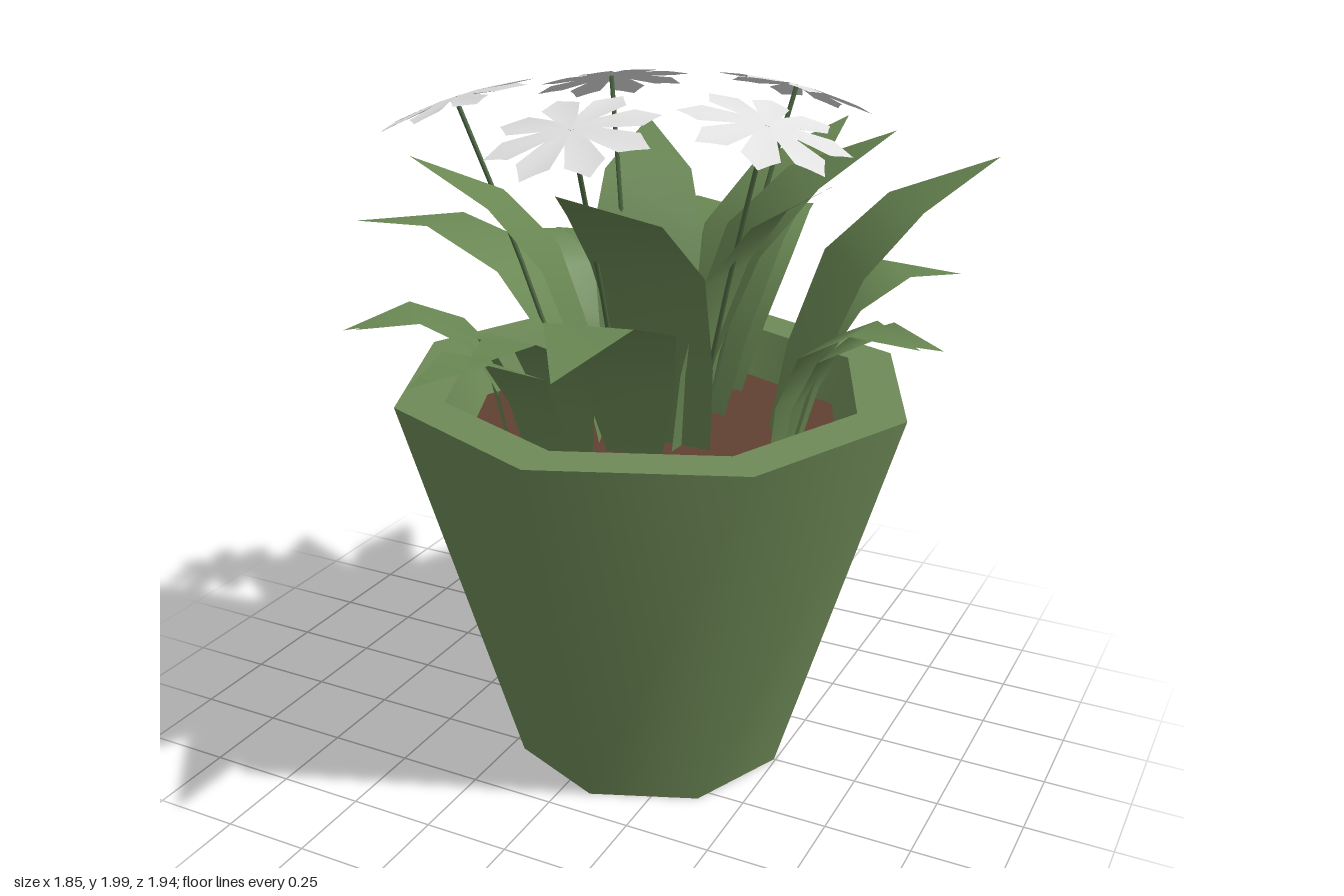
import * as THREE from 'three';

const CX = 0.085; // pot axis

const mat = (name, color, side = THREE.FrontSide) => {
  const m = new THREE.MeshStandardMaterial({ color, side });
  m.name = name;
  return m;
};

const makeMesh = (name, geometry, material) => {
  const m = new THREE.Mesh(geometry, material);
  m.name = name;
  return m;
};

const meshGeometry = (positions, index) => {
  const g = new THREE.BufferGeometry();
  g.setAttribute('position', new THREE.Float32BufferAttribute(positions, 3));
  g.setIndex(index);
  g.computeVertexNormals();
  return g;
};

// Leaf profiles: [outward fraction, height fraction, width fraction]
const TALL = [[0, 0, 0.65], [0.1, 0.33, 0.85], [0.28, 0.66, 1], [0.56, 0.86, 0.8], [1, 1, 0]];
const ARCHED = [[0, 0, 0.45], [0.1, 0.5, 0.8], [0.28, 0.9, 1], [0.6, 1.08, 0.7], [1, 1, 0]];

// Root on a ring around the pot axis, on the side of the leaf tip
const ringRoot = (tx, tz, radius) => {
  const k = radius / Math.hypot(tx - CX, tz);
  return [CX + (tx - CX) * k, tz * k];
};

// Ribbon running outward from its root in the soil to a pointed tip
function leafGeometry([tx, ty, tz, half], [rx, rz], profile) {
  const dx = tx - rx, dz = tz - rz, len = Math.hypot(dx, dz);
  const baseY = 0.98, pos = [], index = [];
  profile.forEach(([t, h, w], i) => {
    for (const s of [-1, 1]) {
      const side = (s * half * w) / len;
      pos.push(rx + dx * t - dz * side, baseY + (ty - baseY) * h, rz + dz * t + dx * side);
    }
    if (i) {
      const a = 2 * i - 2;
      index.push(a, a + 1, a + 2);
      if (w > 0) index.push(a + 1, a + 3, a + 2);
    }
  });
  return meshGeometry(pos, index);
}

// Eight toothed petals fanned around a slightly raised centre
function flowerGeometry() {
  const outline = [[-22.5, 0.08], [-16.5, 0.18], [-8, 0.2], [0, 0.232], [8, 0.2], [16.5, 0.18]];
  const pos = [0, 0, 0], index = [], n = outline.length * 8;
  for (let p = 0; p < 8; p++) {
    for (const [deg, r] of outline) {
      const a = THREE.MathUtils.degToRad(deg + p * 45);
      pos.push(Math.sin(a) * r, -0.45 * r * r, Math.cos(a) * r);
    }
  }
  for (let i = 0; i < n; i++) index.push(0, 1 + i, 1 + ((i + 1) % n));
  return meshGeometry(pos, index);
}

export function createModel() {
  const model = new THREE.Group();
  model.name = 'pottedFlowers';
  const potGreen = mat('pot green', 0x6e8a57);
  const leafGreen = mat('leaf green', 0x698753, THREE.DoubleSide);
  const stemGreen = mat('stem green', 0x4c6640);
  const petalWhite = mat('petal white', 0xe2e2e2, THREE.DoubleSide);
  const soilBrown = mat('soil brown', 0x614133);

  // Octagonal pot: outer wall, base, rim, inner wall and soil
  const pot = new THREE.Group();
  pot.name = 'pot';
  pot.position.x = CX;
  const wall = makeMesh('outerWall', new THREE.CylinderGeometry(0.75, 0.41, 1.15, 8, 1, true), potGreen);
  wall.position.y = 0.575;
  const base = makeMesh('base', new THREE.CircleGeometry(0.41, 8).rotateX(Math.PI / 2), potGreen);
  const rim = makeMesh('rim', new THREE.RingGeometry(0.61, 0.75, 8).rotateX(-Math.PI / 2), potGreen);
  rim.position.y = 1.15;
  // Lathe points run downward so the inside faces the axis
  const inner = makeMesh('innerWall', new THREE.LatheGeometry(
    [new THREE.Vector2(0.61, 1.15), new THREE.Vector2(0.56, 1.0)], 8), potGreen);
  const soil = makeMesh('soil', new THREE.CircleGeometry(0.565, 8).rotateX(-Math.PI / 2), soilBrown);
  soil.position.y = 1.01;
  pot.add(wall, base, rim, inner, soil);
  model.add(pot);

  const leaves = new THREE.Group();
  leaves.name = 'leaves';
  // Tall leaves: tip x, y, z, half width, then root x, z
  for (const [tip, root] of [
    [[0.2, 1.85, 0.76, 0.165], [0.2, 0.1]],
    [[0.63, 1.84, -0.41, 0.19], [0.15, -0.05]],
    [[0.92, 1.79, -0.43, 0.16], [0.45, -0.05]],
    [[0.64, 1.79, 0.09, 0.14], [0.22, 0.07]],
    [[-0.52, 1.79, 0.29, 0.15], [-0.02, 0.1]],
    [[-0.2, 1.79, -0.54, 0.16], [0.02, -0.08]],
    [[0.34, 1.79, -0.84, 0.15], [0.14, -0.18]],
  ]) leaves.add(makeMesh('tallLeaf', leafGeometry(tip, root, TALL), leafGreen));

  // Arching leaves: tip x, y, z, half width, root ring radius
  for (const [x, y, z, half, radius] of [
    [-0.93, 1.5, 0, 0.14, 0.2], [0.3, 1.48, 0.97, 0.16, 0.22],
    [0.19, 1.47, -0.97, 0.15, 0.38], [-0.21, 1.46, -0.94, 0.15, 0.38],
    [0.78, 1.39, -0.64, 0.14, 0.42], [-0.6, 1.37, -0.66, 0.14, 0.42],
    [0.92, 1.36, 0, 0.13, 0.42], [0.88, 1.38, 0.08, 0.12, 0.4],
    [-0.16, 1.36, 0.87, 0.12, 0.42], [-0.66, 1.4, -0.47, 0.12, 0.4],
    [-0.55, 1.36, 0.54, 0.12, 0.42], [-0.5, 1.4, 0.66, 0.12, 0.38],
    [-0.05, 1.4, 0.78, 0.12, 0.36],
  ]) leaves.add(makeMesh('archingLeaf', leafGeometry([x, y, z, half], ringRoot(x, z, radius), ARCHED), leafGreen));
  model.add(leaves);

  // Flowers on slim stems, each tilted away from the pot axis
  const blossom = flowerGeometry();
  const up = new THREE.Vector3(0, 1, 0);
  const heads = [
    [-0.21, 1.945, -0.31], [0.31, 1.935, -0.46], [-0.47, 1.93, 0.13], [0.46, 1.93, 0.13], [0.045, 1.93, 0.4],
  ];
  heads.forEach(([x, y, z], i) => {
    const flower = new THREE.Group();
    flower.name = 'flower';
    const top = new THREE.Vector3(x, y, z);
    const foot = new THREE.Vector3(CX + (x - CX) * 0.4, 1.0, z * 0.35);
    const knee = foot.clone().lerp(top, 0.55).add(new THREE.Vector3(0, 0.03, 0));
    const path = new THREE.CatmullRomCurve3([foot, knee, top]);
    flower.add(makeMesh('stem', new THREE.TubeGeometry(path, 4, 0.007, 5), stemGreen));

    const head = makeMesh('petals', blossom, petalWhite);
    const out = new THREE.Vector3(x - CX, 0, z).normalize();
    head.position.copy(top);
    head.quaternion.setFromUnitVectors(up, out.multiplyScalar(0.33).add(up).normalize());
    head.rotateY(i * 0.31 + 0.2);
    flower.add(head);
    model.add(flower);
  });

  return model;
}
